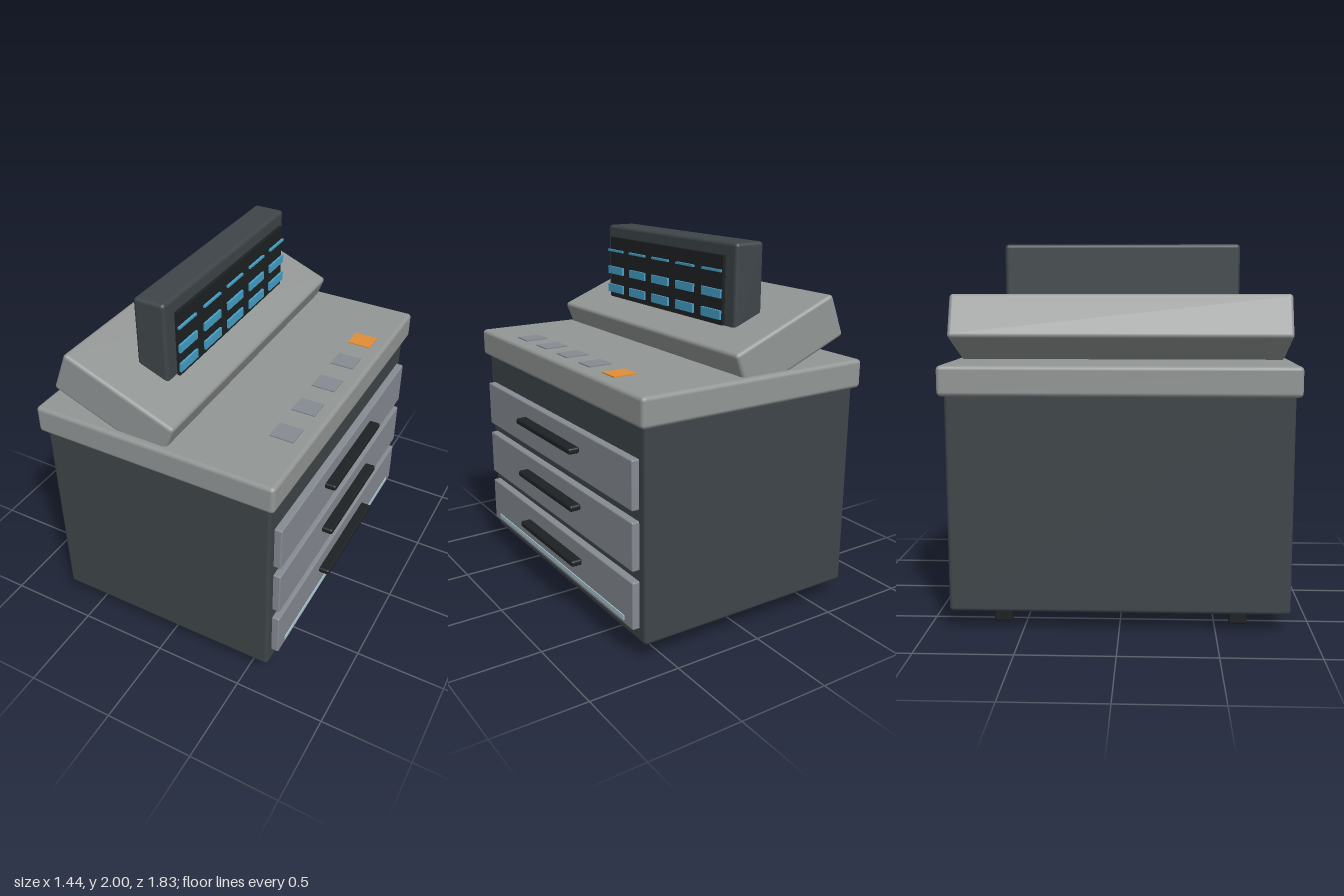
import * as THREE from 'three';
import { RoundedBoxGeometry } from 'three/addons/geometries/RoundedBoxGeometry.js';

const mat = (color) => new THREE.MeshStandardMaterial({ color });
const shell = mat(0x929695);
const body = mat(0x3e4549);
const drawerGrey = mat(0x868a92);
const black = mat(0x1e2123);
const blue = mat(0x45a1c9);
const paleBlue = mat(0xa9c9d2);
const orange = mat(0xe08f38);

// Box given by its min/max extents on each axis, rounded when r > 0
function block(name, [x0, x1], [y0, y1], [z0, z1], material, r = 0) {
  const size = [x1 - x0, y1 - y0, z1 - z0];
  const geometry = r > 0
    ? new RoundedBoxGeometry(...size, 3, r)
    : new THREE.BoxGeometry(...size);
  const mesh = new THREE.Mesh(geometry, material);
  mesh.name = name;
  mesh.position.set((x0 + x1) / 2, (y0 + y1) / 2, (z0 + z1) / 2);
  return mesh;
}

export function createModel() {
  const model = new THREE.Group();
  model.name = 'consoleCabinet';

  // Cabinet and worktop
  model.add(block('cabinet', [-0.69, 0.62], [0.1, 1.25], [-0.885, 0.885], body, 0.02));
  model.add(block('worktop', [-0.72, 0.65], [1.23, 1.385], [-0.915, 0.915], shell, 0.022));

  // Runner feet
  for (const z of [-0.625, 0.625]) {
    model.add(block('foot', [-0.56, 0.485], [0, 0.12], [z - 0.048, z + 0.048], black, 0.012));
  }

  // Three drawers with bar handles
  for (let i = 0; i < 3; i++) {
    const y = 0.305 + i * 0.316;
    const drawer = new THREE.Group();
    drawer.name = 'drawer';
    drawer.add(block('drawerFront', [0.6, 0.66], [y - 0.129, y + 0.129], [-0.835, 0.835], drawerGrey, 0.008));
    drawer.add(block('handle', [0.655, 0.72], [y + 0.011, y + 0.045], [-0.32, 0.32], black, 0.012));
    model.add(drawer);
  }
  model.add(block('lightStrip', [0.655, 0.665], [0.199, 0.225], [-0.755, 0.755], paleBlue));

  // Sloping console on the worktop
  const slope = block('slopingConsole', [-0.33, 0.33], [-0.12, 0.12], [-0.88, 0.88], shell, 0.02);
  slope.position.set(-0.256, 1.51, 0);
  slope.rotation.z = -0.38;
  model.add(slope);

  // Upright display with its dark panel
  model.add(block('displayHousing', [-0.262, -0.087], [1.51, 2], [-0.63, 0.63], body, 0.02));
  model.add(block('displayPanel', [-0.076, -0.058], [1.577, 1.935], [-0.557, 0.557], black));

  // Readout bars, three rows of five
  for (const [y0, y1] of [[1.607, 1.655], [1.718, 1.762], [1.851, 1.863]]) {
    for (let i = -2; i <= 2; i++) {
      const z = i * 0.24;
      model.add(block('readoutBar', [-0.055, -0.043], [y0, y1], [z + 0.005 - 0.082, z + 0.005 + 0.082].map((v) => v + i * 0.0), blue));
    }
  }

  // Row of push buttons, the last one orange
  for (let i = -2; i <= 2; i++) {
    const z = i * 0.246 + 0.01;
    model.add(block('button', [0.445, 0.575], [1.375, 1.391], [z - 0.058, z + 0.058], i === -2 ? orange : drawerGrey));
  }

  return model;
}
